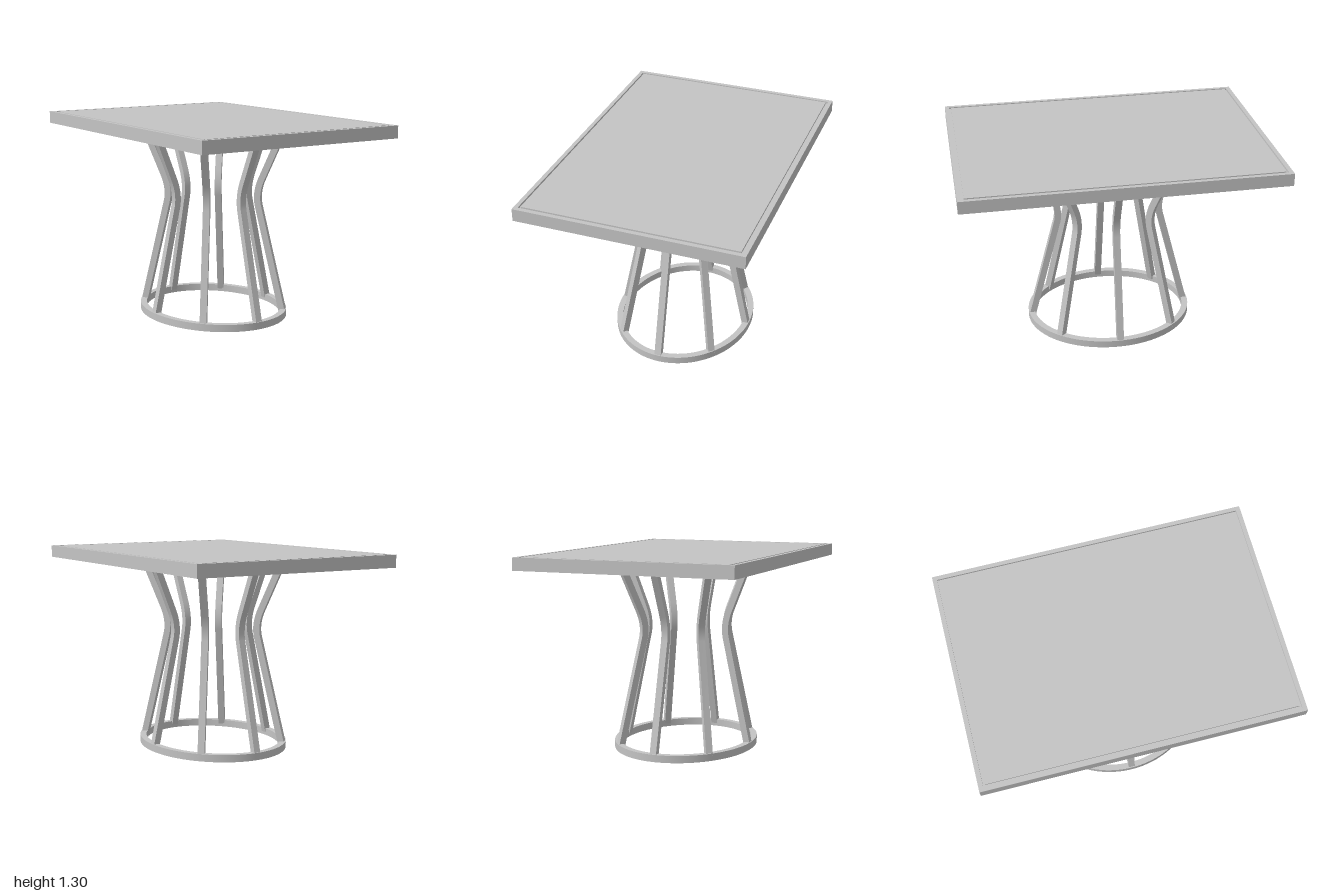
import * as THREE from 'three';
import { toCreasedNormals } from 'three/addons/utils/BufferGeometryUtils.js';

const grey = new THREE.MeshStandardMaterial({ color: 0xc4c4c4 });
grey.name = 'satin grey';

function addMesh(parent, name, geometry) {
  const mesh = new THREE.Mesh(geometry, grey);
  mesh.name = name;
  parent.add(mesh);
  return mesh;
}

function rectangle(path, halfX, halfZ) {
  path.moveTo(-halfX, -halfZ);
  path.lineTo(halfX, -halfZ);
  path.lineTo(halfX, halfZ);
  path.lineTo(-halfX, halfZ);
  path.closePath();
  return path;
}

// Extrude a floor-plan shape upwards from height y
function extrudeUp(shape, y, height) {
  const geo = new THREE.ExtrudeGeometry(shape, { depth: height, bevelEnabled: false, curveSegments: 64 });
  geo.rotateX(-Math.PI / 2);
  geo.translate(0, y, 0);
  return geo;
}

// Bent flat bar in the radial plane: x is the distance from the table's axis
function legGeometry(radius, thickness, width) {
  const p = (f, y) => new THREE.Vector2(radius * f, y);
  const bend = new THREE.QuadraticBezierCurve(p(0.65, 0.735), p(0.615, 0.815), p(0.69, 0.905));
  const line = [p(1, 0.025), ...bend.getPoints(10), p(0.966, 1.212)];
  const inner = [], outer = [];
  line.forEach((pt, i) => {
    const before = line[Math.max(i - 1, 0)];
    const after = line[Math.min(i + 1, line.length - 1)];
    const t = after.clone().sub(before).normalize();
    const n = new THREE.Vector2(t.y, -t.x).multiplyScalar(thickness / 2);
    outer.push(pt.clone().add(n));
    inner.push(pt.clone().sub(n));
  });
  const shape = new THREE.Shape([...outer, ...inner.reverse()]);
  const geo = new THREE.ExtrudeGeometry(shape, { depth: width, bevelEnabled: false });
  geo.translate(0, 0, -width / 2);
  return toCreasedNormals(geo, 0.5);
}

export function createModel() {
  const table = new THREE.Group();
  table.name = 'table';

  // Table top: rim, slab and inset panel with a narrow groove between them
  const top = new THREE.Group();
  top.name = 'tableTop';
  table.add(top);
  const rim = rectangle(new THREE.Shape(), 0.71, 1);
  rim.holes.push(rectangle(new THREE.Path(), 0.684, 0.972));
  addMesh(top, 'rim', extrudeUp(rim, 1.218, 0.08));
  addMesh(top, 'slab', new THREE.BoxGeometry(1.368, 0.068, 1.944)).position.y = 1.252;
  addMesh(top, 'panel', new THREE.BoxGeometry(1.342, 0.014, 1.918)).position.y = 1.291;

  // Oval floor ring
  const ring = new THREE.Shape().absellipse(0, 0, 0.463, 0.553, 0, Math.PI * 2);
  ring.holes.push(new THREE.Path().absellipse(0, 0, 0.422, 0.512, 0, Math.PI * 2));
  addMesh(table, 'baseRing', toCreasedNormals(extrudeUp(ring, 0, 0.047), 0.5));

  // Eight waisted legs around the oval
  const legs = new THREE.Group();
  legs.name = 'legs';
  table.add(legs);
  for (let i = 0; i < 8; i++) {
    const a = (i * Math.PI) / 4;
    const x = 0.44 * Math.cos(a), z = 0.53 * Math.sin(a);
    const leg = addMesh(legs, 'leg' + (i + 1), legGeometry(Math.hypot(x, z), 0.042, 0.044));
    leg.rotation.y = -Math.atan2(z, x);
  }
  return table;
}
